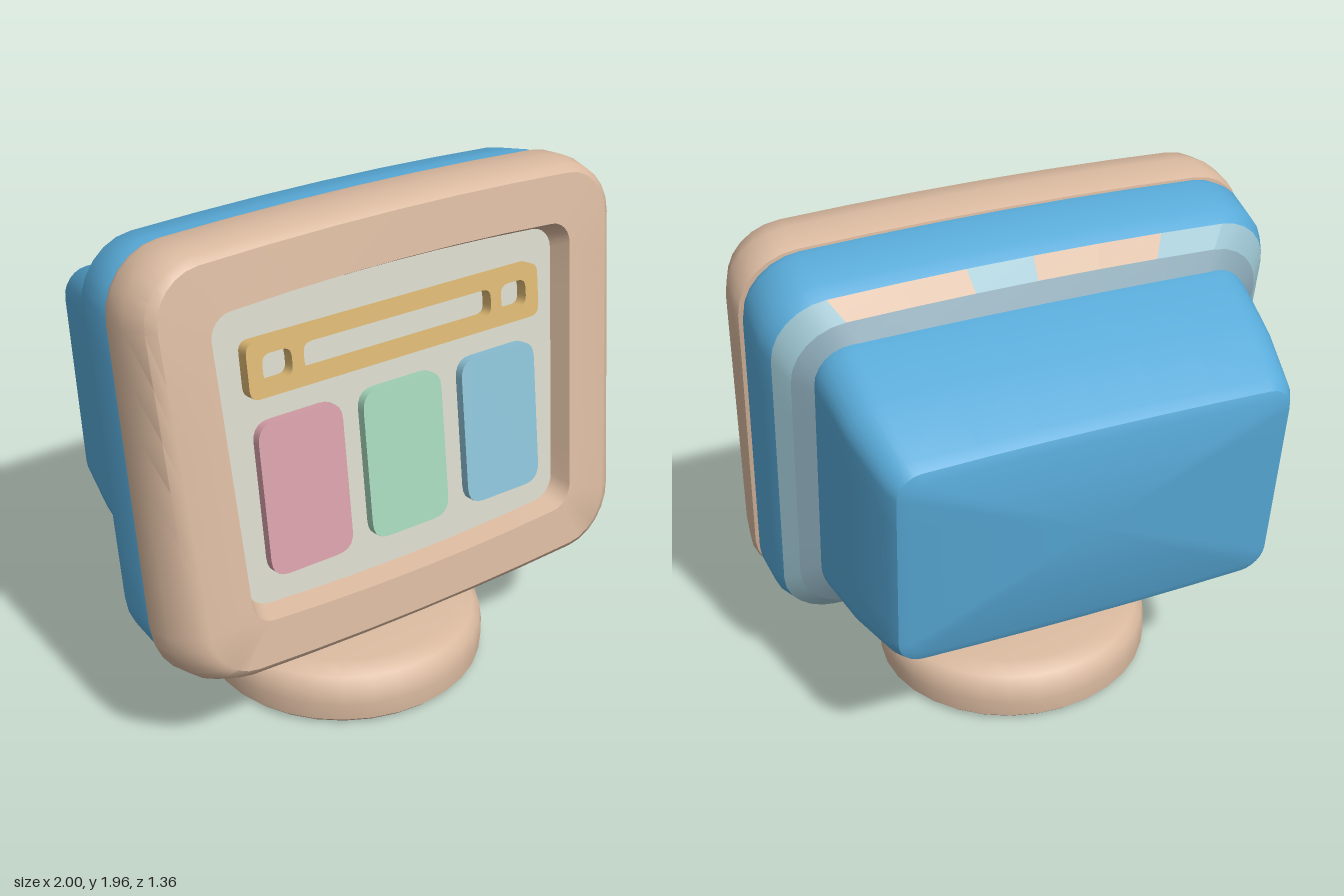
import * as THREE from 'three';
import { toCreasedNormals } from 'three/addons/utils/BufferGeometryUtils.js';

const K = 6; // steps per corner and per side of a ring

const material = (name, color) => {
  const m = new THREE.MeshStandardMaterial({ color });
  m.name = name;
  return m;
};

// Rounded rectangle ring: right-top corner, top, left-top corner, left, ... counter-clockwise.
function ring({ z, w, y0, y1, r, bulge = 0, taper = 0, shear = 0 }) {
  const yc = (y0 + y1) / 2, hh = (y1 - y0) / 2, pts = [];
  const corner = (c, t) => {
    const a = (c + t) * Math.PI / 2;
    const sx = c === 0 || c === 3 ? 1 : -1, sy = c < 2 ? 1 : -1;
    return [sx * (w - r) + r * Math.cos(a), sy * (hh - r) + r * Math.sin(a)];
  };
  for (let c = 0; c < 4; c++) {
    for (let j = 0; j < K; j++) pts.push(corner(c, j / K));
    const a = corner(c, 1), b = corner((c + 1) % 4, 0);
    for (let j = 0; j < K; j++) pts.push([a[0] + (b[0] - a[0]) * j / K, a[1] + (b[1] - a[1]) * j / K]);
  }
  return pts.map(([x, y]) => {
    const yy = yc + y + Math.sign(y) * bulge * (1 - (x / w) ** 2) * Math.min(1, Math.abs(y) / hh);
    return new THREE.Vector3(x * (1 + taper * y / hh), yy, z + shear * yy);
  });
}

// Skin over rings listed back to front; from/to pick a span of the outline.
function loft(sections, { from = 0, to = 8 * K, capBack = false, crease = 0.6 } = {}) {
  const rings = sections.map(ring), pos = [], n = 8 * K;
  const tri = (...v) => v.forEach(p => pos.push(p.x, p.y, p.z));
  for (let s = 0; s < rings.length - 1; s++) {
    const a = rings[s], b = rings[s + 1];
    for (let i = from; i < to; i++) {
      const p = i % n, q = (i + 1) % n;
      tri(a[p], a[q], b[q]);
      tri(a[p], b[q], b[p]);
    }
  }
  if (capBack) {
    const a = rings[0], centre = new THREE.Vector3();
    a.forEach(p => centre.addScaledVector(p, 1 / n));
    for (let i = 0; i < n; i++) tri(centre, a[(i + 1) % n], a[i]);
  }
  const g = new THREE.BufferGeometry();
  g.setAttribute('position', new THREE.Float32BufferAttribute(pos, 3));
  return toCreasedNormals(g, crease);
}

// Rounded rectangle outline centred on (x, y).
function roundRect(target, x, y, w, h, r) {
  const l = x - w / 2, b = y - h / 2, R = x + w / 2, t = y + h / 2;
  target.moveTo(l + r, b);
  target.lineTo(R - r, b);
  target.quadraticCurveTo(R, b, R, b + r);
  target.lineTo(R, t - r);
  target.quadraticCurveTo(R, t, R - r, t);
  target.lineTo(l + r, t);
  target.quadraticCurveTo(l, t, l, t - r);
  target.lineTo(l, b + r);
  target.quadraticCurveTo(l, b, l + r, b);
  return target;
}

export function createModel() {
  const peach = material('peach plastic', 0xd9b99f);
  const blue = material('blue casing', 0x58aad8);
  const cream = material('cream screen', 0xd6d6c9);
  const gold = material('gold bar', 0xdab672);
  const pink = material('pink tile', 0xd69fa9);
  const green = material('green tile', 0xa5d6bb);
  const sky = material('sky tile', 0x8cc2d7);
  const pale = material('pale seam', 0x9cc4d0);
  const grey = material('grey blue collar', 0x8caab8);

  const model = new THREE.Group();
  const add = (parent, name, geometry, mat) => {
    const mesh = new THREE.Mesh(geometry, mat);
    mesh.name = name;
    parent.add(mesh);
    return mesh;
  };

  // Stand
  const profile = [[0, 0], [0.535, 0], [0.555, 0.02], [0.56, 0.09], [0.55, 0.16], [0.52, 0.19], [0.44, 0.21], [0, 0.215]];
  const base = add(model, 'base', toCreasedNormals(new THREE.LatheGeometry(
    profile.map(p => new THREE.Vector2(...p)), 32), 0.7), peach);
  base.scale.z = 0.965;
  base.position.z = 0.14;

  const neck = add(model, 'neck', loft([
    { z: 0.18, w: 0.3, y0: -0.37, y1: 0.1, r: 0.08 },
    { z: 0.25, w: 0.275, y0: -0.36, y1: 0.075, r: 0.08 },
    { z: 0.36, w: 0.255, y0: -0.35, y1: 0.035, r: 0.08 },
    { z: 0.58, w: 0.24, y0: -0.32, y1: -0.04, r: 0.08 },
  ]), peach);
  neck.rotation.x = -Math.PI / 2;

  // Tilted head
  const head = new THREE.Group();
  head.name = 'head';
  head.position.y = 1.15;
  head.rotation.x = -0.153;
  model.add(head);

  // Bezel: outer wall, front face and the wall of the screen opening
  add(head, 'bezel', loft([
    { z: 0.285, w: 0.95, y0: -0.78, y1: 0.69, r: 0.2, bulge: 0.03 },
    { z: 0.295, w: 0.99, y0: -0.815, y1: 0.725, r: 0.22, bulge: 0.03 },
    { z: 0.33, w: 1.0, y0: -0.82, y1: 0.732, r: 0.22, bulge: 0.03 },
    { z: 0.43, w: 0.993, y0: -0.81, y1: 0.728, r: 0.22, bulge: 0.03, taper: 0.007 },
    { z: 0.52, w: 0.95, y0: -0.78, y1: 0.705, r: 0.2, bulge: 0.03, taper: 0.025 },
    { z: 0.545, w: 0.91, y0: -0.755, y1: 0.68, r: 0.17, bulge: 0.03, taper: 0.035 },
    { z: 0.55, w: 0.735, y0: -0.595, y1: 0.515, r: 0.08, bulge: 0.027, taper: 0.03 },
    { z: 0.46, w: 0.705, y0: -0.565, y1: 0.485, r: 0.08, bulge: 0.025, taper: 0.03 },
  ]), peach);

  // Casing behind the bezel, with a peach underside
  const edge = { z: 0.03, w: 0.95, y0: -0.765, y1: 0.69, r: 0.2, bulge: 0.03 };
  const seam = { z: -0.025, w: 0.9, y0: -0.7, y1: 0.625, r: 0.2, bulge: 0.025 };
  const collar = { z: -0.075, w: 0.82, y0: -0.59, y1: 0.55, r: 0.16, bulge: 0.02 };
  const shell = [
    edge,
    { z: 0.09, w: 0.975, y0: -0.785, y1: 0.715, r: 0.21, bulge: 0.03 },
    { z: 0.25, w: 0.985, y0: -0.8, y1: 0.725, r: 0.21, bulge: 0.03 },
    { z: 0.3, w: 0.97, y0: -0.795, y1: 0.715, r: 0.21, bulge: 0.03 },
  ];
  const upper = { from: 6 * K, to: 13 * K }, under = { from: 5 * K, to: 6 * K };
  add(head, 'casing', loft(shell, upper), blue);
  add(head, 'casingUnderside', loft([collar, seam, ...shell], under), peach);

  // Seam and collar around the rear edge; worn peach patches along the top
  const top = 8 * K + K;
  add(head, 'seamRight', loft([seam, edge], { from: 6 * K, to: top }), pale);
  add(head, 'seamLeft', loft([seam, edge], { from: top + K, to: 13 * K }), pale);
  for (let i = 0; i < K; i++)
    add(head, 'seamTop', loft([seam, edge], { from: top + i, to: top + i + 1 }), i % 3 === 2 ? pale : peach);
  add(head, 'collar', loft([collar, seam], upper), grey);

  // Rear housing
  add(head, 'rearHousing', loft([
    { z: -0.65, w: 0.69, y0: -0.36, y1: 0.4, r: 0.06, bulge: 0.015, shear: 0.055 },
    { z: -0.635, w: 0.73, y0: -0.4, y1: 0.435, r: 0.09, bulge: 0.015, shear: 0.055 },
    { z: -0.59, w: 0.755, y0: -0.42, y1: 0.455, r: 0.1, bulge: 0.015, shear: 0.05 },
    { z: -0.35, w: 0.805, y0: -0.505, y1: 0.51, r: 0.12, bulge: 0.015, shear: 0.03 },
    { z: -0.1, w: 0.83, y0: -0.59, y1: 0.565, r: 0.14, bulge: 0.015 },
    { z: -0.05, w: 0.83, y0: -0.59, y1: 0.565, r: 0.14, bulge: 0.015 },
  ], { capBack: true }), blue);

  // Screen, tiles and bar
  const plate = (name, shape, z0, z1, mat) => {
    const g = new THREE.ExtrudeGeometry(shape, { depth: z1 - z0, bevelEnabled: false, curveSegments: 5 });
    add(head, name, toCreasedNormals(g, 0.6), mat).position.z = z0;
  };
  plate('screen', roundRect(new THREE.Shape(), 0, -0.04, 1.5, 1.13, 0.08), 0.44, 0.472, cream);

  [['pinkTile', -0.43, pink], ['greenTile', -0.003, green], ['skyTile', 0.43, sky]].forEach(([name, x, mat]) =>
    plate(name, roundRect(new THREE.Shape(), x, -0.19, 0.34, 0.565, 0.07), 0.46, 0.507, mat));

  const bar = roundRect(new THREE.Shape(), 0, 0.287, 1.24, 0.2, 0.04);
  [[0, 0.8], [-0.505, 0.115], [0.505, 0.115]].forEach(([x, w]) =>
    bar.holes.push(roundRect(new THREE.Path(), x, 0.287, w, 0.1, 0.035)));
  plate('bar', bar, 0.46, 0.52, gold);

  return model;
}
